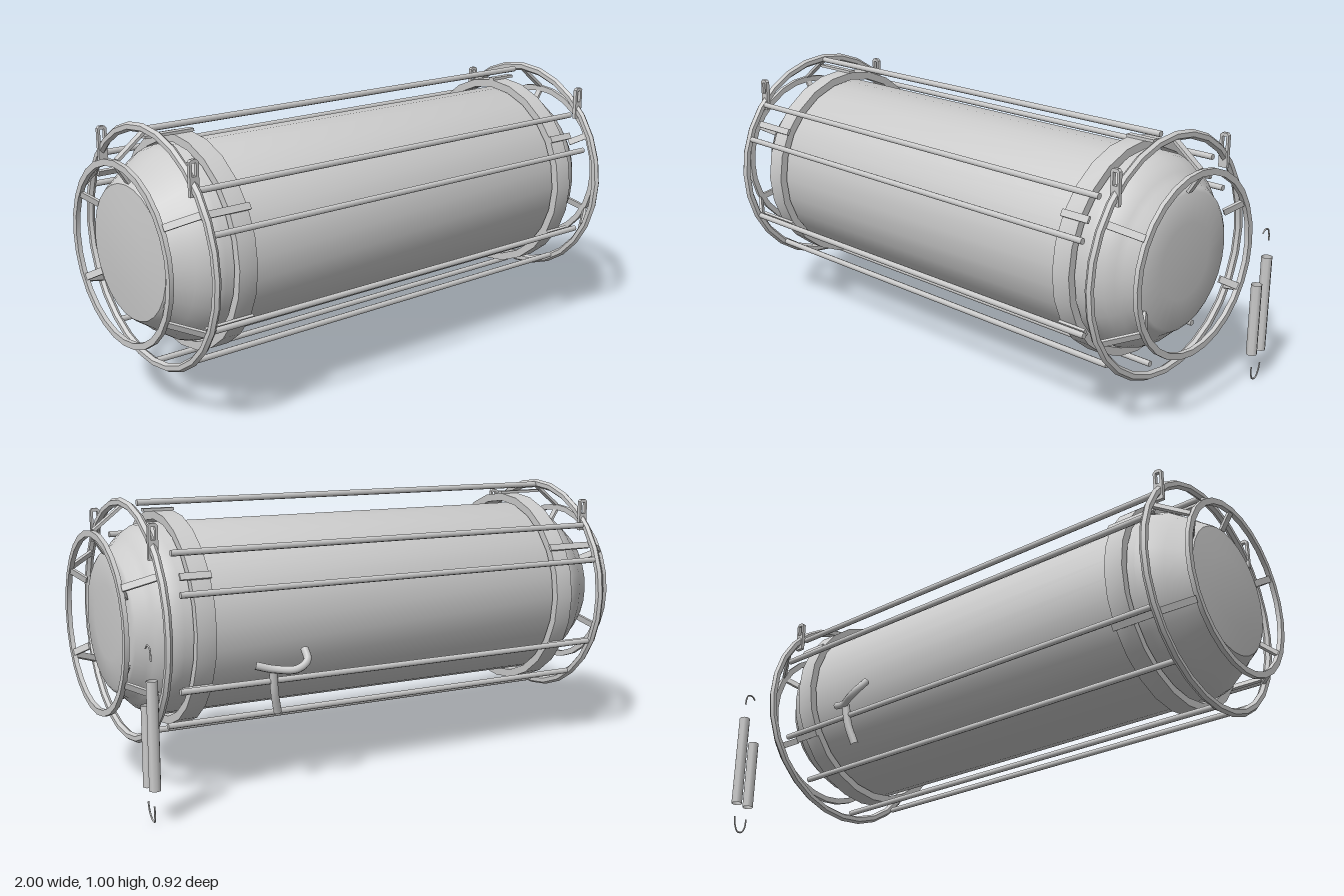
import * as THREE from 'three';
import { toCreasedNormals } from 'three/addons/utils/BufferGeometryUtils.js';

const mat = new THREE.MeshStandardMaterial({ color: 0xcccccc });
const thinMat = new THREE.MeshStandardMaterial({ color: 0xcccccc, side: THREE.DoubleSide });

function add(parent, name, geo, material = mat) {
  const m = new THREE.Mesh(geo, material);
  m.name = name;
  parent.add(m);
  return m;
}

// Lathe around the x axis; profile points are [x, radius] from -x to +x
function latheX(profile, sides) {
  const pts = profile.map(([x, r]) => new THREE.Vector2(r, x));
  const g = new THREE.LatheGeometry(pts, sides);
  g.rotateZ(-Math.PI / 2);
  return toCreasedNormals(g, 0.5);
}

// Flat bar in the xy plane from (x0, y0) to (x1, y1)
function bar(x0, y0, x1, y1, thick, width) {
  const g = new THREE.BoxGeometry(Math.hypot(x1 - x0, y1 - y0), thick, width);
  g.rotateZ(Math.atan2(y1 - y0, x1 - x0));
  g.translate((x0 + x1) / 2, (y0 + y1) / 2, 0);
  return g;
}

function tube(points, radius, sides = 8) {
  const curve = new THREE.CatmullRomCurve3(points.map((p) => new THREE.Vector3(...p)));
  return new THREE.TubeGeometry(curve, 24, radius, sides);
}

// Lifting lug: a small upright plate with a slot
function lugGeometry() {
  const s = new THREE.Shape();
  s.moveTo(-0.017, -0.06);
  s.lineTo(0.017, -0.06);
  s.lineTo(0.017, 0.052);
  s.lineTo(0.009, 0.06);
  s.lineTo(-0.009, 0.06);
  s.lineTo(-0.017, 0.052);
  const h = new THREE.Path();
  h.moveTo(-0.008, 0.005);
  h.lineTo(-0.008, 0.048);
  h.lineTo(0.008, 0.048);
  h.lineTo(0.008, 0.005);
  s.holes.push(h);
  const g = new THREE.ExtrudeGeometry(s, { depth: 0.014, bevelEnabled: false });
  g.translate(0, 0, -0.007);
  return g;
}

export function createModel() {
  const model = new THREE.Group();
  model.name = 'cagedTank';
  const body = new THREE.Group();
  body.name = 'tankAndCage';
  body.position.set(0, 0.575, 0.035);
  model.add(body);

  // Tank: cylinder, rounded shoulders, collars and gently domed ends
  add(body, 'tank', latheX([
    [-0.972, 0], [-0.969, 0.13], [-0.96, 0.232], [-0.945, 0.245], [-0.905, 0.272],
    [-0.885, 0.29], [-0.86, 0.306], [-0.83, 0.326], [-0.8, 0.337],
    [0.8, 0.337], [0.83, 0.328], [0.86, 0.311], [0.885, 0.287],
    [0.9, 0.268], [0.935, 0.245], [0.943, 0.232], [0.95, 0.13], [0.953, 0],
  ], 28));

  // Hollow bands standing just off the tank
  for (const [x0, x1] of [[-0.776, -0.706], [0.703, 0.772]]) {
    add(body, 'band', latheX([
      [x0, 0.346], [x0, 0.375], [x1, 0.375], [x1, 0.346], [x0, 0.346],
    ], 24));
  }

  // Long cage rods
  for (const deg of [90, 41, 20, -27, -54, -90, 139, 160, 207, 234]) {
    const a = THREE.MathUtils.degToRad(deg);
    const g = new THREE.CylinderGeometry(0.011, 0.011, 1.71, 8);
    g.rotateZ(Math.PI / 2);
    g.translate(-0.025, 0.405 * Math.sin(a), 0.405 * Math.cos(a));
    add(body, 'cageRod', g);
  }

  const lug = lugGeometry();
  for (const s of [-1, 1]) {
    // Large cage ring and small end ring
    const big = new THREE.TorusGeometry(0.409, 0.016, 6, 28);
    big.scale(1, 1, 0.85);
    big.rotateY(Math.PI / 2);
    big.translate(s * 0.884, 0, 0);
    add(body, 'cageRing', toCreasedNormals(big, 0.6));
    add(body, 'endRing', latheX([
      [s * 0.99 - 0.008, 0.297], [s * 0.99 - 0.008, 0.319], [s * 0.99 + 0.008, 0.319],
      [s * 0.99 + 0.008, 0.297], [s * 0.99 - 0.008, 0.297],
    ], 28));

    // Five sets of struts, inner tabs and band tabs
    for (let i = -2; i <= 2; i++) {
      const spoke = new THREE.Group();
      spoke.name = 'spoke';
      spoke.rotation.x = i * Math.PI / 3;
      body.add(spoke);
      add(spoke, 'strut', bar(s * 0.888, 0.395, s * 0.986, 0.318, 0.01, 0.024));
      add(spoke, 'innerTab', bar(s * 0.99, 0.3, s * 0.95, 0.238, 0.01, 0.024));
      add(spoke, 'bandTab', bar(s * 0.7, 0.379, s * (s < 0 ? 0.885 : 0.81), 0.379, 0.01, 0.024));
    }

    // Lifting lugs on the large ring
    for (const z of [0.295, -0.29]) {
      add(body, 'liftingLug', lug).position.set(s * 0.884, 0.305, z);
    }
  }

  // Curved valve handle with its stem on the back
  add(model, 'valveHandle', tube([
    [0.56, 0.45, -0.325], [0.5, 0.435, -0.345], [0.43, 0.435, -0.38],
    [0.39, 0.46, -0.375], [0.385, 0.495, -0.345],
  ], 0.014));
  add(model, 'valveStem', tube([
    [0.5, 0.435, -0.335], [0.49, 0.35, -0.325], [0.47, 0.275, -0.306],
  ], 0.015));

  // Separate open pipes beside the tank
  for (const [y0, y1, z] of [[0.112, 0.38, -0.385], [0.114, 0.47, -0.439]]) {
    const g = new THREE.CylinderGeometry(0.02, 0.02, y1 - y0, 8, 1, true);
    g.translate(0.968, (y0 + y1) / 2, z);
    add(model, 'loosePipe', g, thinMat);
  }

  // Thin hooks above and below the pipes
  add(model, 'upperHook', tube([
    [0.97, 0.565, -0.396], [0.97, 0.577, -0.41], [0.97, 0.574, -0.43],
    [0.97, 0.555, -0.438], [0.97, 0.53, -0.44],
  ], 0.003, 6));
  add(model, 'lowerHook', tube([
    [0.972, 0.063, -0.384], [0.97, 0.03, -0.389], [0.967, 0.006, -0.405],
    [0.967, 0.005, -0.425], [0.97, 0.03, -0.436], [0.972, 0.063, -0.44],
  ], 0.003, 6));

  return model;
}
